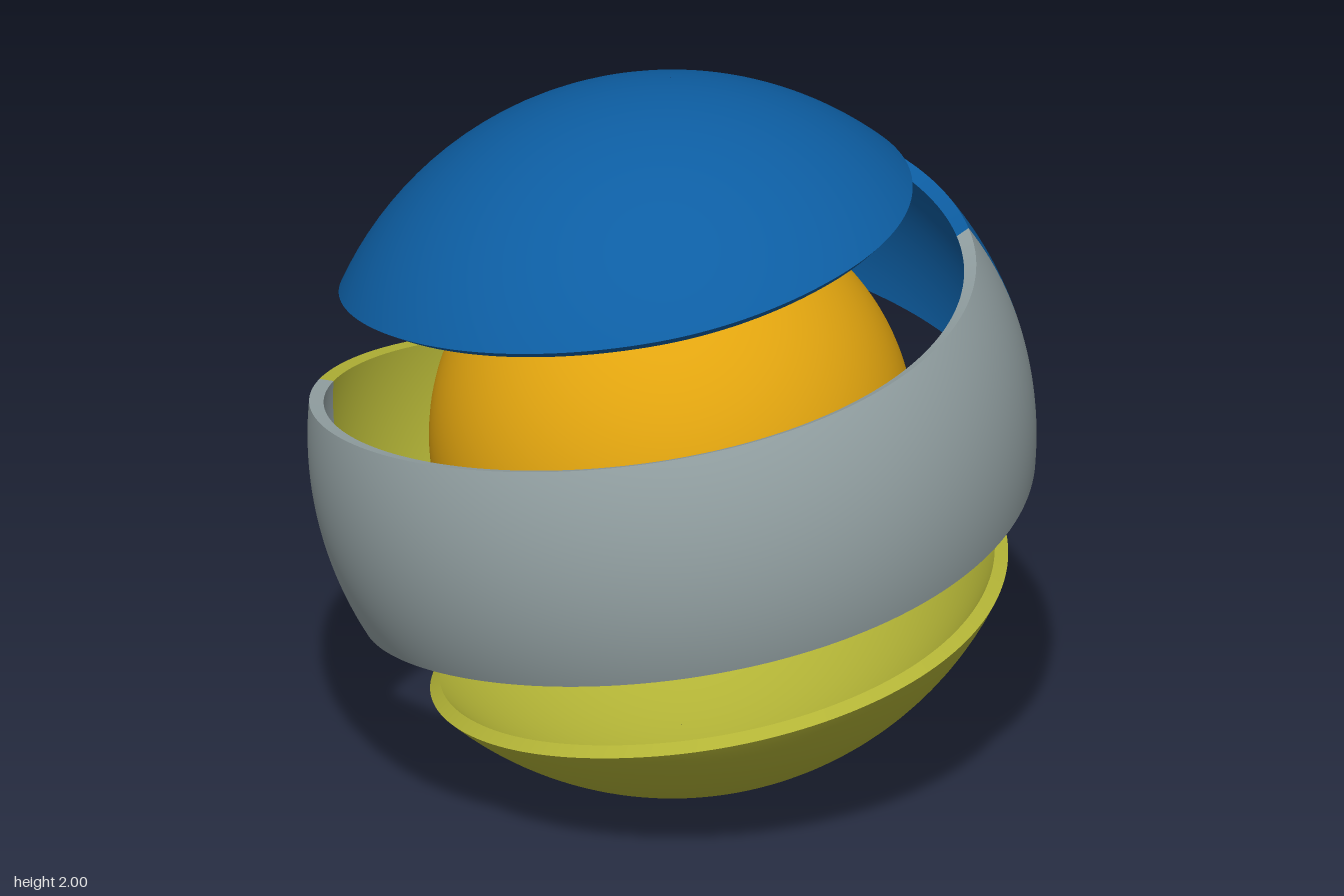
import * as THREE from 'three';
import { mergeGeometries } from 'three/addons/utils/BufferGeometryUtils.js';

const OUTER = 1, INNER = 0.96;
const RAD = Math.PI / 180;

// Latitude (degrees) of the slot's lower edge, every 45 degrees of its two turns.
// The angle starts at the back and runs towards +x, then the front.
const LATITUDES = [
  59.6, 53, 46.4, 40, 33.3, 26.3, 19.2, 12, 4.9, -2.4, -9.6, -16.6,
  -23.6, -30.8, -38.4, -45.4, -48.6, -48.3, -47.3, -46.2, -45,
];
const slotCurve = new THREE.SplineCurve(LATITUDES.map((lat, i) => new THREE.Vector2(i * 45 - 90, lat)));
const slotBottom = (a) => slotCurve.getPoint((a + 90) / 900).y;
// The upper edge is the lower edge turned half round about the z axis.
const slotTop = (a) => -slotBottom(720 - a);

const onSphere = (r, lat, a) => new THREE.Vector3(
  r * Math.cos(lat * RAD) * Math.sin(a * RAD),
  r * Math.sin(lat * RAD),
  -r * Math.cos(lat * RAD) * Math.cos(a * RAD),
);

// Grid surface whose front faces along du x dv; spherical = +1/-1 gives radial normals.
function patch(point, nu, nv, spherical = 0) {
  const pos = [], idx = [];
  for (let i = 0; i <= nu; i++) {
    for (let j = 0; j <= nv; j++) pos.push(...point(i / nu, j / nv).toArray());
  }
  for (let i = 0; i < nu; i++) {
    for (let j = 0; j < nv; j++) {
      const a = i * (nv + 1) + j, b = a + nv + 1;
      idx.push(a, b, b + 1, a, b + 1, a + 1);
    }
  }
  const geo = new THREE.BufferGeometry();
  geo.setAttribute('position', new THREE.Float32BufferAttribute(pos, 3));
  geo.setIndex(idx);
  geo.computeVertexNormals();
  if (spherical) {
    const p = geo.attributes.position, v = new THREE.Vector3();
    for (let i = 0; i < p.count; i++) {
      v.fromBufferAttribute(p, i).normalize().multiplyScalar(spherical);
      geo.attributes.normal.setXYZ(i, v.x, v.y, v.z);
    }
  }
  return geo;
}

// Thick piece of shell between two latitude rules, with walls on its free edges.
function shellPiece(from, to, low, high, wallLow, wallHigh) {
  const n = Math.ceil((to - from) / 2), m = 24;
  const angle = (t) => from + (to - from) * t;
  const face = (r, s, t) => onSphere(r, THREE.MathUtils.lerp(low(angle(t)), high(angle(t)), s), angle(t));
  const depth = (s) => INNER + (OUTER - INNER) * s;
  const parts = [
    patch((u, v) => face(OUTER, u, v), m, n, 1),
    patch((u, v) => face(INNER, v, u), n, m, -1),
  ];
  if (wallHigh) parts.push(patch((u, v) => face(depth(v), 1, u), n, 1));
  if (wallLow) parts.push(patch((u, v) => face(depth(u), 0, v), 1, n));
  return mergeGeometries(parts);
}

export function createModel() {
  const blue = new THREE.MeshStandardMaterial({ name: 'blue', color: 0x0d5ea3 });
  const grey = new THREE.MeshStandardMaterial({ name: 'grey', color: 0x95a3a5 });
  const olive = new THREE.MeshStandardMaterial({ name: 'olive yellow', color: 0xb2b336 });
  const amber = new THREE.MeshStandardMaterial({ name: 'amber', color: 0xe2a50f });

  const model = new THREE.Group();
  model.name = 'peeledSphere';
  const add = (name, geometry, material) => {
    const mesh = new THREE.Mesh(geometry, material);
    mesh.name = name;
    mesh.position.y = 1;
    model.add(mesh);
  };

  // Inner ball
  add('core', new THREE.SphereGeometry(0.667, 96, 64), amber);

  // Top cap and bottom bowl; the slot's tips lie 5 degrees past the back
  add('topCap', shellPiece(-5, 355, slotTop, () => 90, true, false), blue);
  add('bottomBowl', shellPiece(365, 725, () => -90, slotBottom, false, true), olive);

  // One-turn band that joins the cap to the bowl, in three colours
  const nextTurn = (a) => slotTop(a + 360);
  const band = (from, to) => shellPiece(from, to, nextTurn, slotBottom, true, true);
  add('upperBand', band(-5, 79.2), blue);
  add('middleBand', band(79.2, 280.8), grey);
  add('lowerBand', band(280.8, 365), olive);

  return model;
}
